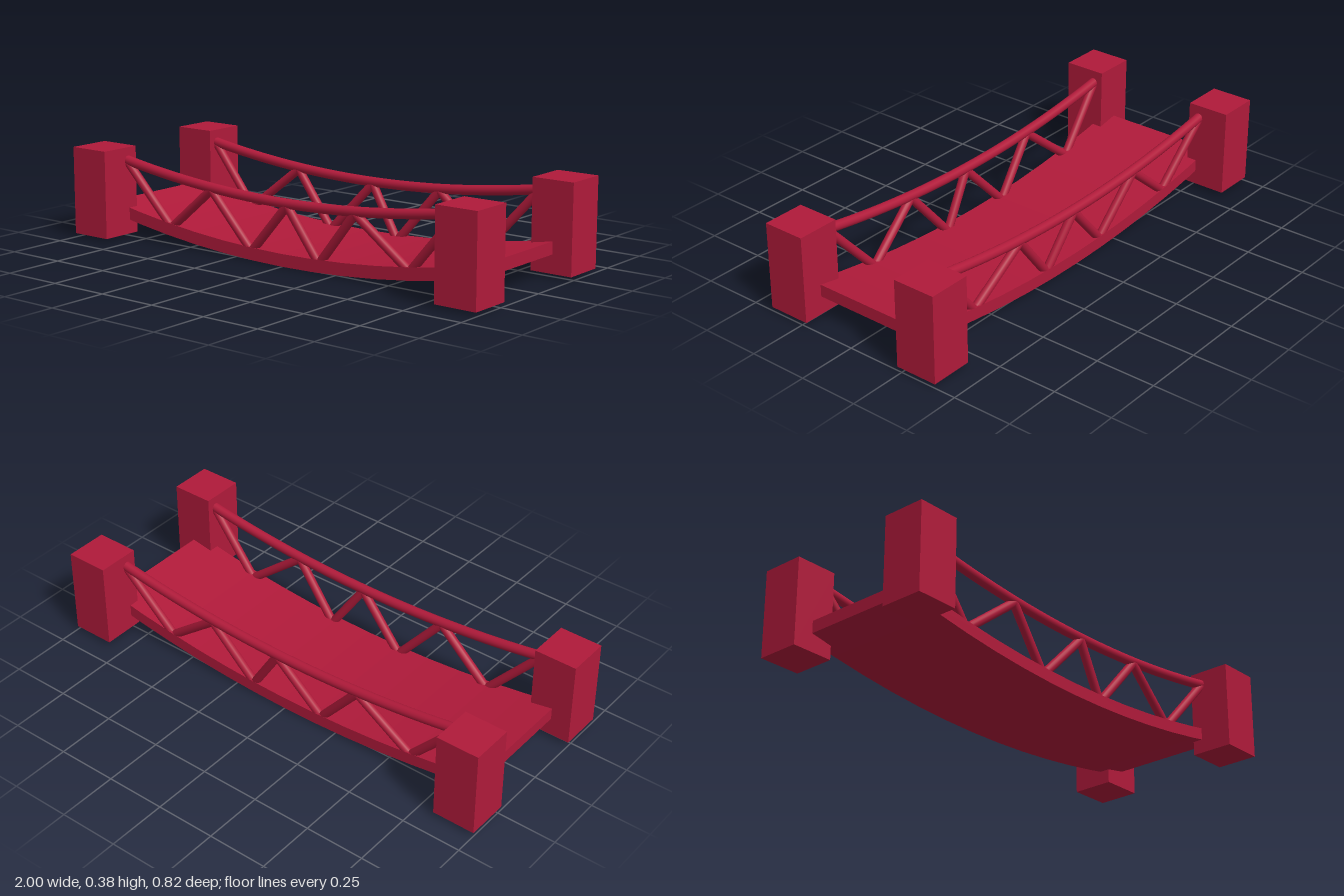
import * as THREE from 'three';

const material = new THREE.MeshStandardMaterial({ color: 0xb01a3a });
const deckBottom = (x) => 0.11 * x * x;
const railHeight = (x) => 0.255 + 0.104 * x * x;

function addMesh(parent, name, geometry) {
  const mesh = new THREE.Mesh(geometry, material);
  mesh.name = name;
  parent.add(mesh);
  return mesh;
}

// Round bar between two points
function addBar(parent, name, a, b, radius) {
  const dir = b.clone().sub(a);
  const bar = addMesh(parent, name, new THREE.CylinderGeometry(radius, radius, dir.length(), 16));
  bar.position.copy(a).add(b).multiplyScalar(0.5);
  bar.quaternion.setFromUnitVectors(new THREE.Vector3(0, 1, 0), dir.normalize());
}

// Sagging deck slab, extruded across its width
function deckGeometry() {
  const half = 0.915, thick = 0.051, width = 0.544, steps = 12;
  const shape = new THREE.Shape();
  for (let i = 0; i <= steps; i++) {
    const x = -half + (2 * half * i) / steps;
    if (i === 0) shape.moveTo(x, deckBottom(x));
    else shape.lineTo(x, deckBottom(x));
  }
  for (let i = steps; i >= 0; i--) {
    const x = -half + (2 * half * i) / steps;
    shape.lineTo(x, deckBottom(x) + thick);
  }
  const geometry = new THREE.ExtrudeGeometry(shape, { depth: width, bevelEnabled: false });
  return geometry.translate(0, 0, -width / 2);
}

export function createModel() {
  const bridge = new THREE.Group();
  bridge.name = 'bridge';
  addMesh(bridge, 'deck', deckGeometry());

  // Zigzag nodes: even ones meet the rail, odd ones meet the deck
  const nodes = [-0.82, -0.6, -0.36, -0.17, 0.03, 0.17, 0.36, 0.6, 0.82];

  for (const side of [1, -1]) {
    const truss = new THREE.Group();
    truss.name = side > 0 ? 'frontTruss' : 'backTruss';
    bridge.add(truss);

    // Curved handrail running into the posts
    const points = [];
    for (let i = 0; i <= 12; i++) {
      const x = -0.9 + (1.8 * i) / 12;
      points.push(new THREE.Vector3(x, railHeight(x), side * 0.274));
    }
    const path = new THREE.CatmullRomCurve3(points);
    addMesh(truss, 'handrail', new THREE.TubeGeometry(path, 32, 0.02, 16, false));

    // Diagonal struts leaning slightly inward at the deck
    const joints = nodes.map((x, i) => i % 2 === 0
      ? new THREE.Vector3(x, railHeight(x) - 0.008, side * 0.274)
      : new THREE.Vector3(x, deckBottom(x) + 0.03, side * 0.252));
    for (let i = 0; i < joints.length - 1; i++) {
      addBar(truss, 'strut', joints[i], joints[i + 1], 0.018);
    }

    // Corner posts
    for (const end of [-1, 1]) {
      const post = addMesh(bridge, 'post', new THREE.BoxGeometry(0.18, 0.364, 0.18));
      post.position.set(end * 0.91, 0.198, side * 0.319);
    }
  }
  return bridge;
}
